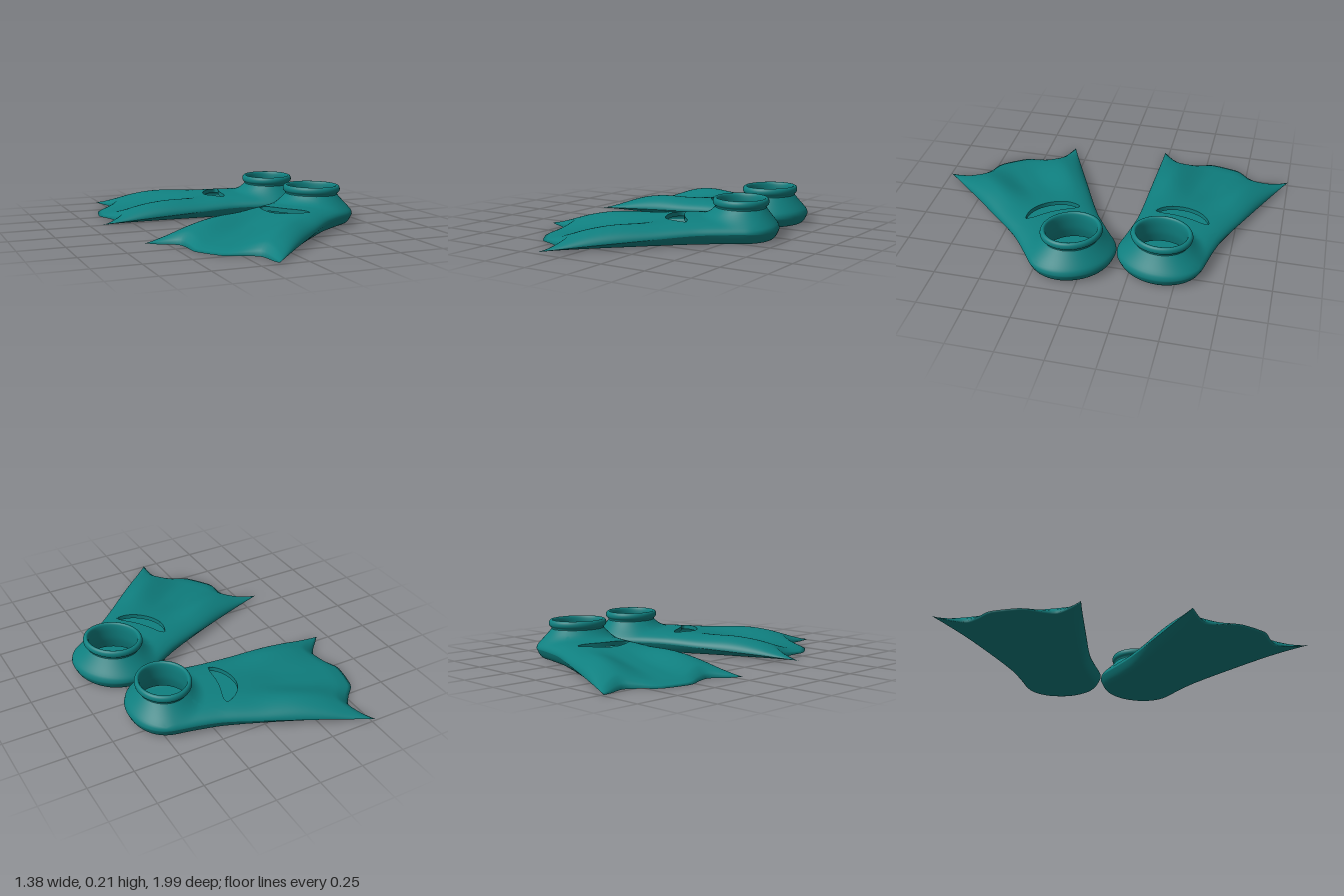
import * as THREE from 'three';
import { mergeVertices } from 'three/addons/utils/BufferGeometryUtils.js';

// Local fin frame: x runs from heel to blade tips, z across, y up.
const NI = 72, NJ = 48;

// Smooth 1D curve through [x, y] points
function curve(pts) {
  const n = pts.length;
  const slope = pts.map((_, i) => {
    const a = pts[Math.max(0, i - 1)], b = pts[Math.min(n - 1, i + 1)];
    return (b[1] - a[1]) / (b[0] - a[0]);
  });
  return (x) => {
    if (x <= pts[0][0]) return pts[0][1];
    if (x >= pts[n - 1][0]) return pts[n - 1][1];
    let i = 0;
    while (x > pts[i + 1][0]) i++;
    const d = pts[i + 1][0] - pts[i][0], t = (x - pts[i][0]) / d, t2 = t * t, t3 = t2 * t;
    return (2 * t3 - 3 * t2 + 1) * pts[i][1] + (t3 - 2 * t2 + t) * d * slope[i]
      + (3 * t2 - 2 * t3) * pts[i + 1][1] + (t3 - t2) * d * slope[i + 1];
  };
}

// Outline and height profiles along the fin
const halfWidth = curve([[-0.2, 0.24], [0, 0.24], [0.144, 0.24], [0.27, 0.248], [0.56, 0.301], [0.924, 0.372], [1.036, 0.396]]);
const tailEdge = curve([[0, 1.042], [0.2, 1.038], [0.28, 1.025], [0.46, 0.98], [0.67, 0.955], [1, 1.036]]);
const rimY = curve([[-0.2, 0.06], [0.2, 0.06], [0.5, 0.045], [0.8, 0.028], [0.95, 0.018], [1.04, 0.012]]);
const centreY = curve([[-0.2, 0.12], [0, 0.125], [0.3, 0.122], [0.45, 0.105], [0.65, 0.07], [0.85, 0.045], [1.04, 0.02]]);
const railY = curve([[-0.2, 0.12], [0, 0.125], [0.3, 0.122], [0.45, 0.118], [0.65, 0.122], [0.8, 0.1], [0.95, 0.05], [1.04, 0.02]]);

// 0 on the centre line, 1 on the outline
const edgeness = (u, v) => Math.min(1, u > 0 ? Math.abs(v) / halfWidth(u) : Math.hypot(u / 0.205, v / 0.24));

function topY(u, v) {
  const e = edgeness(u, v), rim = rimY(u);
  const crown = THREE.MathUtils.lerp(centreY(u), railY(u), THREE.MathUtils.smoothstep(e, 0.1, 0.72));
  const y = rim + (crown - rim) * Math.sqrt(1 - e ** 3.5);
  const r = Math.hypot(u / 0.135, v / 0.15);
  const k = THREE.MathUtils.clamp(1 - (r - 1) / 0.6, 0, 1) ** 2 * Math.sqrt(1 - e ** 6);
  return y + (0.17 - y) * k;
}

function bottomY(u, v) {
  const k = Math.max(0, (edgeness(u, v) - 0.82) / 0.18);
  return 0.006 + (rimY(u) - 0.006) * k * k;
}

// Openings: a block of grid cells pulled onto a closed curve
const ankleCurve = (a) => [0.135 * Math.cos(a), 0.15 * Math.sin(a)];
const toeCurve = (a) => [0.35 + 0.05 * Math.cos(a) - 0.05 * Math.sin(a) ** 2, 0.155 * Math.sin(a)];
const openings = [
  { ic: 17, hi: 14, hj: 14, at: ankleCurve },
  { ic: 40, hi: 8, hj: 12, at: toeCurve },
];
const blockPos = (o, i, j) => [(i - o.ic) / o.hi, (j - NJ / 2) / o.hj];
const blockDist = (o, i, j) => Math.max(...blockPos(o, i, j).map(Math.abs));

// Grid position to plan position
function plan(i, j) {
  const t = (i / NI) ** 1.3;
  const s = Math.sin(((j - NJ / 2) / (NJ / 2)) * Math.PI / 2);
  const heel = s * Math.PI / 2;
  const u = THREE.MathUtils.lerp(-0.205 * Math.cos(heel), tailEdge(Math.abs(s)), t);
  return [u, halfWidth(u) * THREE.MathUtils.lerp(Math.sin(heel), s, t)];
}

function planWithOpenings(i, j) {
  for (const o of openings) {
    const m = blockDist(o, i, j);
    if (m >= 1 || m < 0.5) continue;
    const [a, b] = blockPos(o, i, j);
    const outer = plan(o.ic + (a / m) * o.hi, NJ / 2 + (b / m) * o.hj);
    const inner = o.at(Math.atan2(b, a));
    const t = (m - 0.5) * 2;
    return [0, 1].map((k) => THREE.MathUtils.lerp(inner[k], outer[k], t));
  }
  return plan(i, j);
}

function meshGeometry(pos, idx) {
  let g = new THREE.BufferGeometry();
  g.setAttribute('position', new THREE.Float32BufferAttribute(pos, 3));
  g.setIndex(idx);
  g = mergeVertices(g, 1e-5);
  g.computeVertexNormals();
  return g;
}

// Hollow shell: shaped top with openings, flat sole, shared rounded rim
function shellGeometry() {
  const pos = [], idx = [];
  const size = (NI + 1) * (NJ + 1);
  for (const top of [true, false]) {
    for (let i = 0; i <= NI; i++) {
      const fade = Math.sqrt(Math.min(1, (1 - (i / NI) ** 1.3) / 0.06));
      for (let j = 0; j <= NJ; j++) {
        const [u, v] = top ? planWithOpenings(i, j) : plan(i, j);
        const low = bottomY(u, v);
        pos.push(u, top ? THREE.MathUtils.lerp(low, topY(u, v), fade) : low, v);
      }
    }
    for (let i = 0; i < NI; i++) {
      for (let j = 0; j < NJ; j++) {
        if (top && openings.some((o) => blockDist(o, i + 0.5, j + 0.5) < 0.5)) continue;
        const a = i * (NJ + 1) + j + (top ? 0 : size), b = a + 1, c = a + NJ + 1, d = c + 1;
        if (top) idx.push(a, b, c, b, d, c);
        else idx.push(a, c, b, b, c, d);
      }
    }
  }
  return meshGeometry(pos, idx);
}

// Wall thickness seen inside the toe opening
function toeLipGeometry() {
  const pos = [], idx = [], n = 48;
  for (let k = 0; k <= n; k++) {
    const [u, v] = toeCurve((k / n) * Math.PI * 2);
    const y = topY(u, v);
    pos.push(u, y, v, u, y - 0.025, v);
    if (k < n) idx.push(2 * k, 2 * k + 2, 2 * k + 1, 2 * k + 1, 2 * k + 2, 2 * k + 3);
  }
  return meshGeometry(pos, idx);
}

// Rolled ankle collar and the inner lining below it
function collarGeometry() {
  const profile = new THREE.SplineCurve([
    [0.15, 0.165], [0.152, 0.176], [0.163, 0.186], [0.166, 0.2], [0.162, 0.213], [0.152, 0.22],
    [0.142, 0.216], [0.137, 0.2], [0.136, 0.17], [0.14, 0.12], [0.15, 0.08], [0.16, 0.05],
  ].map(([r, y]) => new THREE.Vector2(r, y)));
  return new THREE.LatheGeometry(profile.getPoints(36), 48).scale(0.9, 1, 1);
}

export function createModel() {
  const rubber = new THREE.MeshStandardMaterial({ color: 0x0f7f7f, side: THREE.DoubleSide });
  rubber.name = 'teal rubber';

  const parts = {
    finShell: shellGeometry(),
    toeOpeningLip: toeLipGeometry(),
    ankleCollar: collarGeometry(),
  };

  function fin(name, x, z, angle, scale) {
    const g = new THREE.Group();
    g.name = name;
    for (const [part, geometry] of Object.entries(parts)) {
      const mesh = new THREE.Mesh(geometry, rubber);
      mesh.name = part;
      g.add(mesh);
    }
    g.position.set(x, 0, z);
    g.rotation.y = angle;
    g.scale.set(scale, 1, scale);
    return g;
  }

  const model = new THREE.Group();
  model.name = 'swimFins';
  model.add(fin('backFin', 0.41, -0.4, Math.PI - 0.207, 1));
  model.add(fin('frontFin', 0.48, 0.07, 0.604 - Math.PI, 1.01));
  return model;
}
